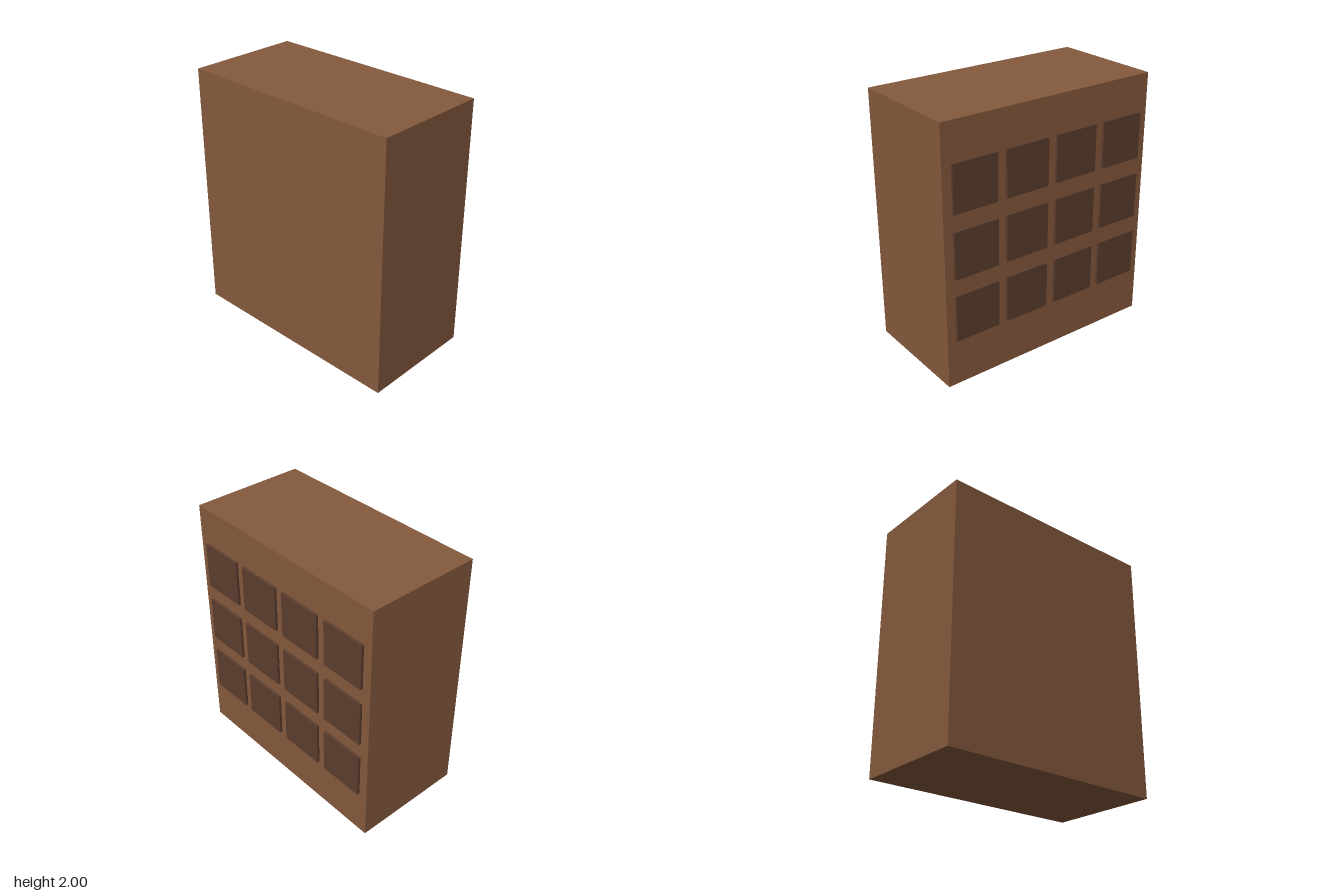
import * as THREE from 'three';

export function createModel() {
  const model = new THREE.Group();
  const wood = new THREE.MeshStandardMaterial({ color: 0x85593d });
  const darkWood = new THREE.MeshStandardMaterial({ color: 0x5c3d2e });

  function box(name, size, position, material, parent) {
    const mesh = new THREE.Mesh(new THREE.BoxGeometry(...size), material);
    mesh.name = name;
    mesh.position.set(...position);
    parent.add(mesh);
  }

  // Cabinet body
  box('cabinetBody', [0.908, 2, 1.818], [-0.01, 1, 0], wood, model);

  // Three rows of four raised drawer fronts on the +x side
  const drawers = new THREE.Group();
  drawers.name = 'drawerFronts';
  model.add(drawers);
  for (let row = 0; row < 3; row++) {
    for (let col = 0; col < 4; col++) {
      box(`drawerFront${row + 1}_${col + 1}`, [0.046, 0.362, 0.364],
        [0.441, 0.55 + row * 0.49, (1.5 - col) * 0.437], darkWood, drawers);
    }
  }
  return model;
}
